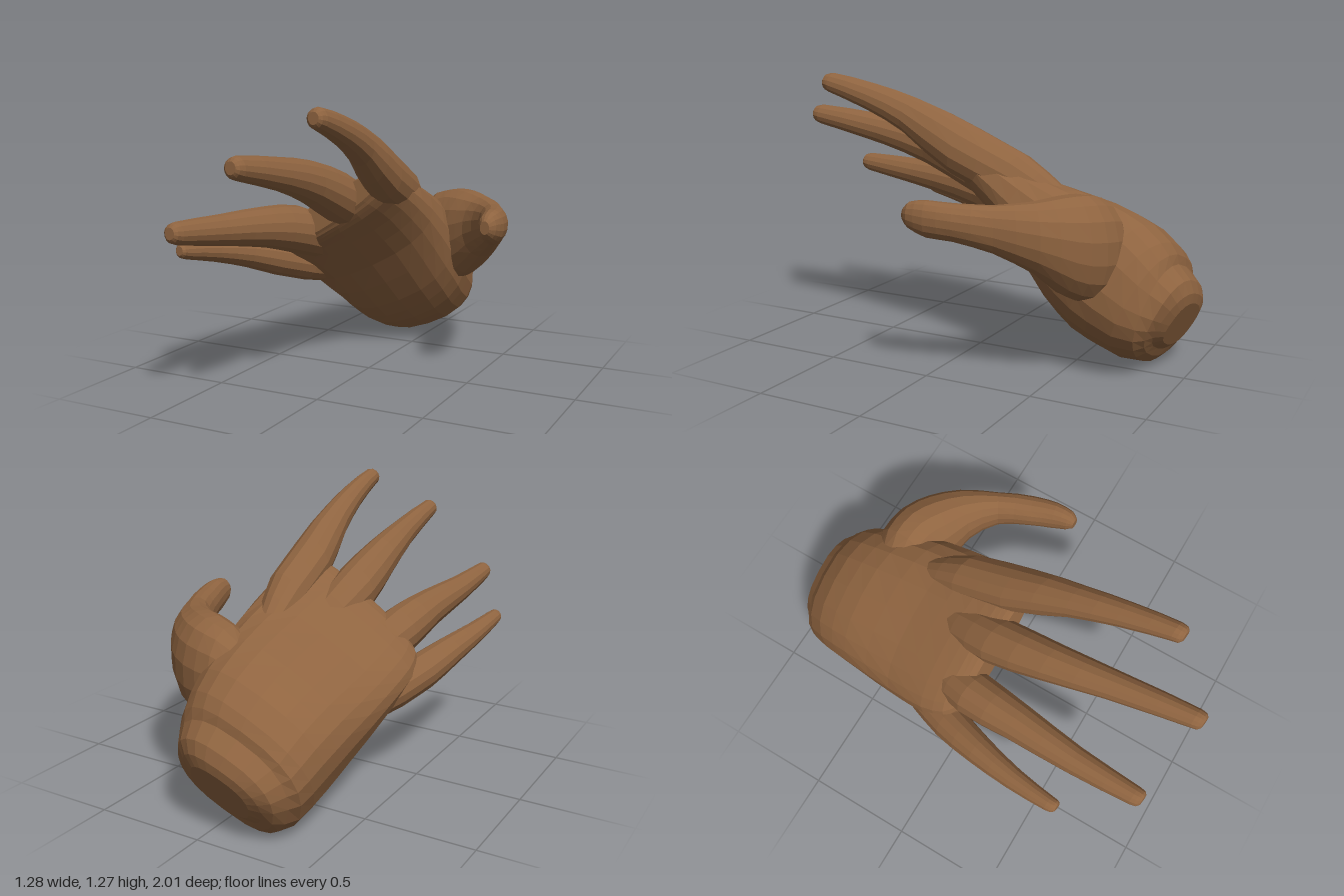
import * as THREE from 'three';

const skin = new THREE.MeshStandardMaterial({ color: 0x8f6440, flatShading: true });

// Lofts superellipse rings [x, y, z, halfWidth, halfThickness] along a smooth path.
// The width direction turns from "across" at the first ring to "acrossEnd" at the last.
function loft(name, rings, across, acrossEnd, sides, power) {
  const path = new THREE.CatmullRomCurve3(rings.map(r => new THREE.Vector3(r[0], r[1], r[2])));
  const size = new THREE.CatmullRomCurve3(rings.map(r => new THREE.Vector3(r[3], r[4], 0)));
  const steps = (rings.length - 1) * 2;
  const pos = [], idx = [];
  const bend = v => Math.sign(v) * Math.pow(Math.abs(v), 2 / power);
  for (let i = 0; i <= steps; i++) {
    const u = i / steps, c = path.getPoint(u), s = size.getPoint(u);
    const w = across.clone().lerp(acrossEnd, u).normalize();
    const n = path.getTangent(u).cross(w).normalize();
    for (let j = 0; j < sides; j++) {
      const a = (j + 0.5) / sides * Math.PI * 2;
      const p = c.clone().addScaledVector(w, s.x * bend(Math.cos(a))).addScaledVector(n, s.y * bend(Math.sin(a)));
      pos.push(p.x, p.y, p.z);
    }
  }
  for (let i = 0; i < steps; i++) {
    for (let j = 0; j < sides; j++) {
      const k = (j + 1) % sides;
      const a = i * sides + j, b = i * sides + k, c = b + sides, d = a + sides;
      idx.push(a, b, c, a, c, d);
    }
  }
  // end caps
  const last = steps * sides;
  for (let j = 1; j < sides - 1; j++) {
    idx.push(0, j + 1, j, last, last + j, last + j + 1);
  }
  const geo = new THREE.BufferGeometry();
  geo.setAttribute('position', new THREE.Float32BufferAttribute(pos, 3));
  geo.setIndex(idx);
  geo.computeVertexNormals();
  const mesh = new THREE.Mesh(geo, skin);
  mesh.name = name;
  return mesh;
}

export function createModel() {
  const hand = new THREE.Group();
  hand.name = 'hand';
  const wristAcross = new THREE.Vector3(0.93, 0.34, 0);
  const knuckleAcross = new THREE.Vector3(0.84, 0.54, 0.06);
  const up = new THREE.Vector3(0, 1, 0);

  // palm, from the rounded wrist end to the finger webs
  hand.add(loft('palm', [
    [-0.085, 0.215, -0.955, 0.15, 0.11],
    [-0.085, 0.235, -0.92, 0.25, 0.19],
    [-0.09, 0.27, -0.82, 0.32, 0.265],
    [-0.10, 0.365, -0.67, 0.355, 0.30],
    [-0.115, 0.46, -0.51, 0.375, 0.27],
    [-0.145, 0.595, -0.28, 0.395, 0.175],
    [-0.17, 0.69, -0.10, 0.395, 0.125],
    [-0.175, 0.735, 0.0, 0.37, 0.10],
    [-0.17, 0.755, 0.04, 0.33, 0.08],
    [-0.165, 0.765, 0.06, 0.29, 0.06],
  ], wristAcross, knuckleAcross, 22, 2.5));

  // fingers: knuckle to tip, as [x, y, z, radius]
  const fingers = {
    indexFinger: [[0.04, 0.72, -0.42, 0.07], [0.07, 0.825, -0.22, 0.112], [0.085, 0.935, 0.03, 0.117],
      [0.11, 1.085, 0.3, 0.082], [0.13, 1.163, 0.5, 0.063], [0.147, 1.225, 0.72, 0.046]],
    middleFinger: [[-0.08, 0.66, -0.32, 0.07], [-0.115, 0.745, -0.12, 0.105], [-0.135, 0.825, 0.06, 0.116],
      [-0.13, 0.92, 0.32, 0.095], [-0.105, 0.985, 0.6, 0.07], [-0.077, 1.046, 0.955, 0.047]],
    ringFinger: [[-0.26, 0.53, -0.32, 0.07], [-0.32, 0.6, -0.1, 0.1], [-0.36, 0.655, 0.06, 0.11],
      [-0.383, 0.7, 0.3, 0.09], [-0.41, 0.73, 0.6, 0.066], [-0.42, 0.76, 0.895, 0.046]],
    littleFinger: [[-0.36, 0.39, -0.34, 0.06], [-0.435, 0.45, -0.16, 0.088], [-0.5, 0.5, 0.01, 0.086],
      [-0.553, 0.553, 0.2, 0.07], [-0.592, 0.592, 0.4, 0.052], [-0.611, 0.62, 0.59, 0.037]],
  };
  for (const [name, pts] of Object.entries(fingers)) {
    const rings = pts.map(([x, y, z, r]) => [x, y, z, r * 0.96, r * 1.05]);
    // rounded fingertip
    const [x, y, z, r] = pts[pts.length - 1];
    rings.push([x, y + 0.003, z + 0.03, r * 0.85, r * 0.85], [x, y + 0.005, z + 0.042, r * 0.55, r * 0.55]);
    hand.add(loft(name, rings, knuckleAcross, knuckleAcross, 14, 2.1));
  }

  // thumb, flaring into the side of the palm
  hand.add(loft('thumb', [
    [-0.04, 0.52, -0.60, 0.14, 0.10],
    [0.10, 0.56, -0.61, 0.225, 0.15],
    [0.20, 0.575, -0.59, 0.235, 0.155],
    [0.295, 0.60, -0.535, 0.21, 0.145],
    [0.395, 0.645, -0.455, 0.15, 0.11],
    [0.49, 0.685, -0.32, 0.10, 0.068],
    [0.55, 0.71, -0.17, 0.08, 0.066],
    [0.58, 0.72, -0.06, 0.078, 0.056],
    [0.587, 0.73, 0.015, 0.058, 0.042],
    [0.585, 0.73, 0.045, 0.03, 0.022],
  ], up, up, 16, 2.1));

  // stand the hand on the ground
  hand.position.y = -new THREE.Box3().setFromObject(hand, true).min.y;
  return hand;
}
